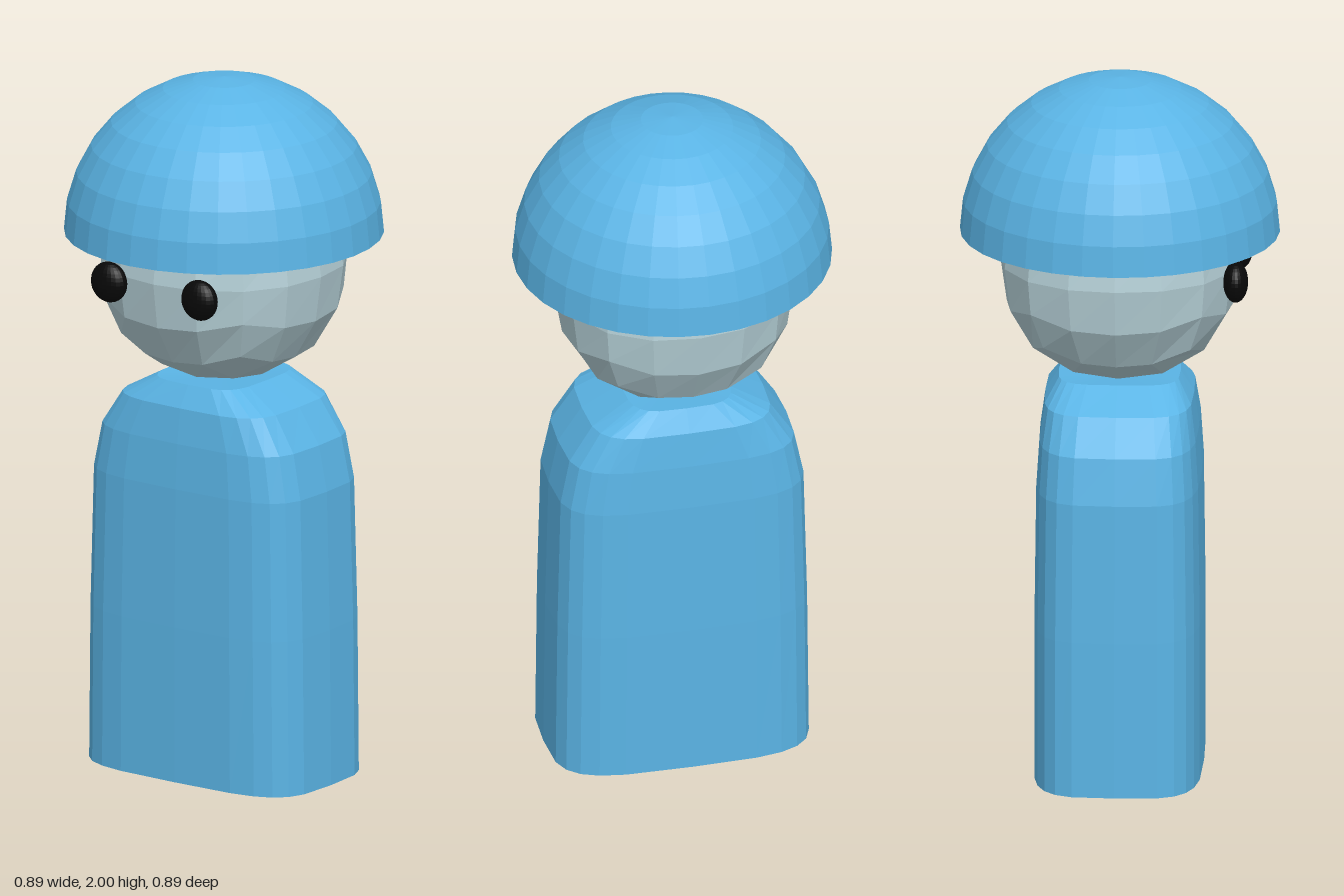
import * as THREE from 'three';

const mat = (color) => new THREE.MeshStandardMaterial({ color, flatShading: true });

function addMesh(parent, name, geometry, material) {
  const mesh = new THREE.Mesh(geometry, material);
  mesh.name = name;
  parent.add(mesh);
  return mesh;
}

// Body: rounded-rectangle rings [y, half width, half depth] joined into a closed skin
function bodyGeometry() {
  const rings = [
    [0, 0.37, 0.235], [0.45, 0.365, 0.235], [0.85, 0.355, 0.23],
    [0.98, 0.328, 0.222], [1.08, 0.26, 0.208], [1.14, 0.15, 0.17],
  ];
  const sides = 24;
  const pos = [];
  const index = [];
  const round = (v) => Math.sign(v) * Math.sqrt(Math.abs(v));
  for (const [y, w, d] of rings) {
    for (let i = 0; i < sides; i++) {
      const a = (i / sides) * Math.PI * 2;
      pos.push(w * round(Math.cos(a)), y, d * round(Math.sin(a)));
    }
  }
  const bottom = pos.length / 3;
  pos.push(0, 0, 0, 0, 1.13, 0);
  const top = (rings.length - 1) * sides;
  for (let i = 0; i < sides; i++) {
    const j = (i + 1) % sides;
    for (let r = 0; r < rings.length - 1; r++) {
      const a = r * sides + i, b = r * sides + j;
      index.push(a, a + sides, b, b, a + sides, b + sides);
    }
    index.push(bottom, i, j, bottom + 1, top + j, top + i);
  }
  const g = new THREE.BufferGeometry();
  g.setAttribute('position', new THREE.Float32BufferAttribute(pos, 3));
  g.setIndex(index);
  g.computeVertexNormals();
  return g;
}

// Head: a subdivided cube inflated to a slightly boxy ball
function headGeometry(radius) {
  const g = new THREE.BoxGeometry(2, 2, 2, 4, 4, 4);
  const p = g.attributes.position;
  const power = 2.25;
  for (let i = 0; i < p.count; i++) {
    const v = [p.getX(i), p.getY(i), p.getZ(i)].map((c) => Math.tan((c * Math.PI) / 4));
    const len = v.reduce((s, c) => s + Math.abs(c) ** power, 0) ** (1 / power);
    p.setXYZ(i, ...v.map((c) => (c / len) * radius));
  }
  g.computeVertexNormals();
  return g;
}

export function createModel() {
  const group = new THREE.Group();
  group.name = 'figure';
  const blue = mat(0x5ab4e5);
  const skin = mat(0xb4cfd6);
  const black = mat(0x080808);

  addMesh(group, 'body', bodyGeometry(), blue);
  addMesh(group, 'head', headGeometry(0.335), skin).position.y = 1.47;

  // Hat: faceted half ball with a flat underside
  const hat = new THREE.Group();
  hat.name = 'hat';
  hat.position.y = 1.55;
  group.add(hat);
  addMesh(hat, 'hatDome', new THREE.SphereGeometry(0.447, 32, 8, 0, Math.PI * 2, 0, Math.PI / 2), blue);
  addMesh(hat, 'hatUnderside', new THREE.CircleGeometry(0.447, 32), blue).rotation.x = Math.PI / 2;

  // Eyes: flattened balls on the face
  for (const [name, side] of [['leftEye', 1], ['rightEye', -1]]) {
    const eye = addMesh(group, name, new THREE.SphereGeometry(0.058, 24, 16), black);
    eye.scale.z = 0.6;
    eye.position.set(side * 0.156, 1.45, 0.33);
  }
  return group;
}
